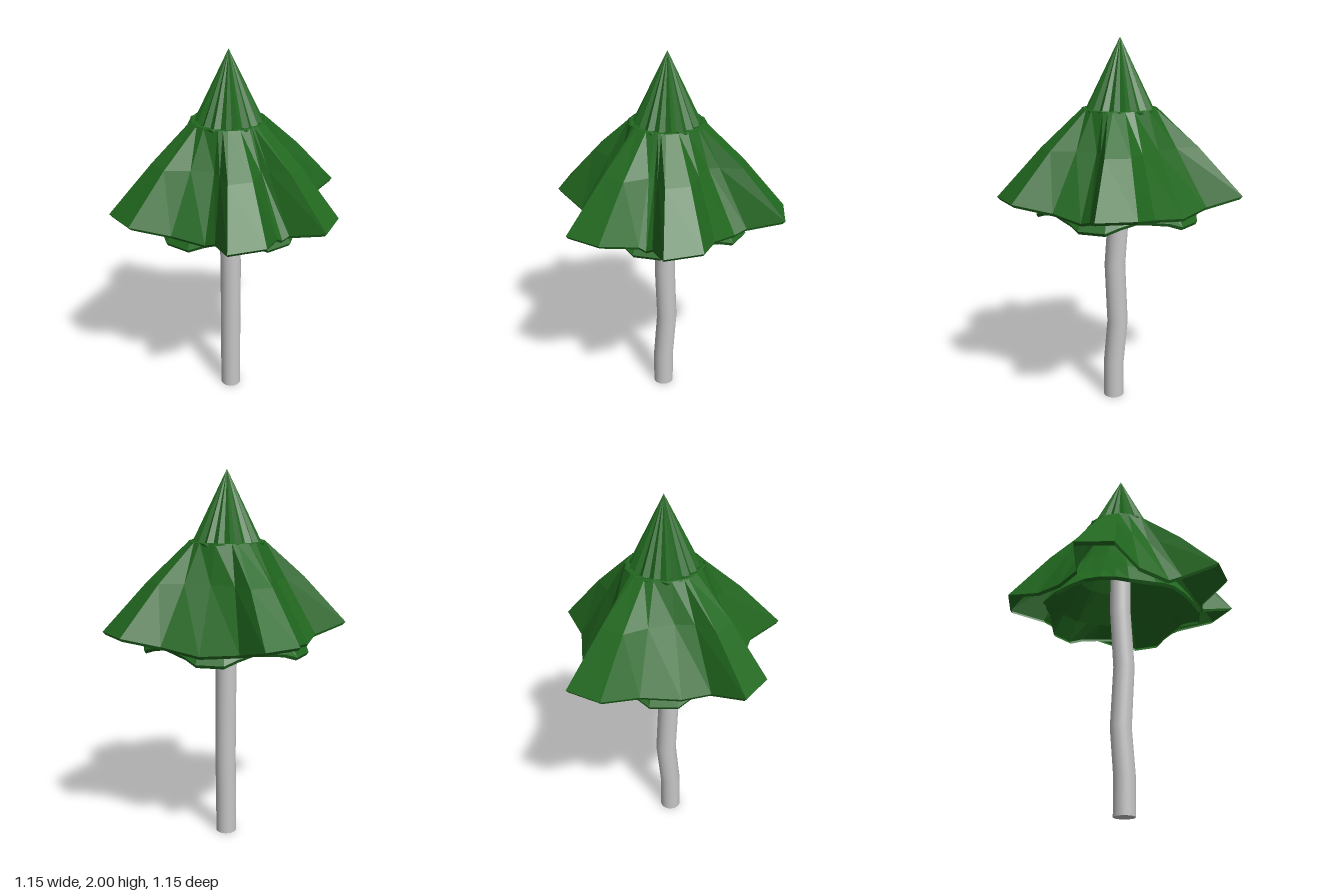
import * as THREE from 'three';

const CX = -0.03, CZ = -0.055; // canopy axis
const polar = (a, r, y) => [CX + Math.cos(a) * r, y, CZ + Math.sin(a) * r];

// Faceted skin through closed rings, listed from the outside top downwards
function loft(rings) {
  const pos = [];
  for (let i = 0; i < rings.length - 1; i++) {
    const n = rings[i].length;
    for (let j = 0; j < n; j++) {
      const k = (j + 1) % n;
      const a = rings[i][j], b = rings[i][k], c = rings[i + 1][j], d = rings[i + 1][k];
      pos.push(...a, ...b, ...c, ...b, ...d, ...c);
    }
  }
  const g = new THREE.BufferGeometry();
  g.setAttribute('position', new THREE.Float32BufferAttribute(pos, 3));
  g.computeVertexNormals();
  return g;
}

// Skirt with a thin lip folded under its rim
function skirt(rings) {
  const lip = rings[rings.length - 1].map(([x, y, z]) =>
    [CX + (x - CX) * 0.98, y - 0.016, CZ + (z - CZ) * 0.98]);
  return loft([...rings, lip]);
}

export function createModel() {
  const group = new THREE.Group();
  const leaf = new THREE.MeshStandardMaterial({ color: 0x21681f, flatShading: true, side: THREE.DoubleSide });
  leaf.name = 'leafGreen';
  const bark = new THREE.MeshStandardMaterial({ color: 0xc6c6c6 });
  bark.name = 'barkGrey';
  const add = (name, geometry, material) => {
    const m = new THREE.Mesh(geometry, material);
    m.name = name;
    group.add(m);
  };

  // Crooked trunk: a cylinder whose rings follow a bent path [x, y, z]
  const path = [[-0.014, 0, -0.03], [-0.014, 0.2, -0.03], [-0.021, 0.46, -0.054],
    [-0.015, 0.79, -0.037], [-0.028, 1.12, -0.055], [-0.03, 1.55, -0.055]];
  const steps = path.length - 1;
  const trunk = new THREE.CylinderGeometry(0.057, 0.057, steps, 20, steps);
  const p = trunk.attributes.position;
  for (let i = 0; i < p.count; i++) {
    const [x, y, z] = path[Math.round(p.getY(i) + steps / 2)];
    p.setXYZ(i, p.getX(i) + x, y, p.getZ(i) + z);
  }
  add('trunk', trunk, bark);

  // Upper skirt rim [x, y, z]: five blunt tips (two points each) and valleys (three)
  const rim = [
    [0.575, 1.2, 0.055], [0.54, 1.2, 0.25], [0.35, 1.15, 0.215], [0.32, 1.13, 0.235], [0.3, 1.15, 0.265],
    [0.29, 1.2, 0.47], [0.125, 1.2, 0.575], [0.02, 1.16, 0.41], [-0.04, 1.13, 0.38], [-0.22, 1.15, 0.362],
    [-0.42, 1.2, 0.42], [-0.575, 1.2, 0.295], [-0.455, 1.15, 0.145], [-0.465, 1.13, 0], [-0.475, 1.16, -0.2],
    [-0.555, 1.2, -0.385], [-0.45, 1.2, -0.55], [-0.28, 1.15, -0.455], [-0.085, 1.13, -0.49], [0.12, 1.16, -0.5],
    [0.3, 1.2, -0.58], [0.47, 1.2, -0.475], [0.37, 1.15, -0.31], [0.37, 1.13, -0.24], [0.43, 1.16, -0.09]];
  const fold = [1.03, 1.03, 0.95, 0.86, 0.95]; // how far each rib bulges or sinks midway
  const ribs = rim.map(([x, , z], i) => ({
    a: Math.atan2(z - CZ, x - CX), r: Math.hypot(x - CX, z - CZ), f: fold[i % 5] }));
  add('upperSkirt', skirt([
    ribs.map(b => polar(b.a, 0.197, 1.643)),
    ribs.map(b => polar(b.a, (0.2 + (b.r - 0.2) * 0.45) * b.f, 1.45)),
    rim]), leaf);

  // Lower skirt: five smaller drooping blunt lobes [degrees, reach 0-1]
  const lobe = [[-9, 1], [9, 1], [18, 0.45], [30, 0.15], [42, 0], [54, 0.45]];
  const lobes = [];
  for (let k = 0; k < 5; k++) {
    for (const [deg, w] of lobe) lobes.push({ a: THREE.MathUtils.degToRad(40 + 72 * k + deg), w });
  }
  add('lowerSkirt', skirt([
    lobes.map(b => polar(b.a, 0.13, 1.58)),
    lobes.map(b => polar(b.a, 0.245 + 0.015 * b.w, 1.36)),
    lobes.map(b => polar(b.a, 0.345 + 0.035 * b.w, 1.2)),
    lobes.map(b => polar(b.a, 0.4 + 0.045 * b.w, 1.135 - 0.045 * b.w))]), leaf);

  // Scalloped collar and pleated cone on top
  const pleats = Array.from({ length: 36 }, (_, i) => ({
    a: i / 36 * Math.PI * 2, odd: i % 2, wave: Math.cos(i / 36 * Math.PI * 28) }));
  add('collar', loft([
    pleats.map(b => polar(b.a, 0.14, 1.63)),
    pleats.map(b => polar(b.a, 0.187 + 0.008 * b.wave, 1.645)),
    pleats.map(b => polar(b.a, 0.197 + 0.006 * b.wave, 1.641)),
    pleats.map(b => polar(b.a, 0.197, 1.62))]), leaf);
  add('topCone', loft([
    pleats.map(b => polar(b.a, 0, 2)),
    pleats.map(b => polar(b.a, b.odd ? 0.158 : 0.178, 1.638)),
    pleats.map(b => polar(b.a, 0.13, 1.6))]), leaf);

  return group;
}
